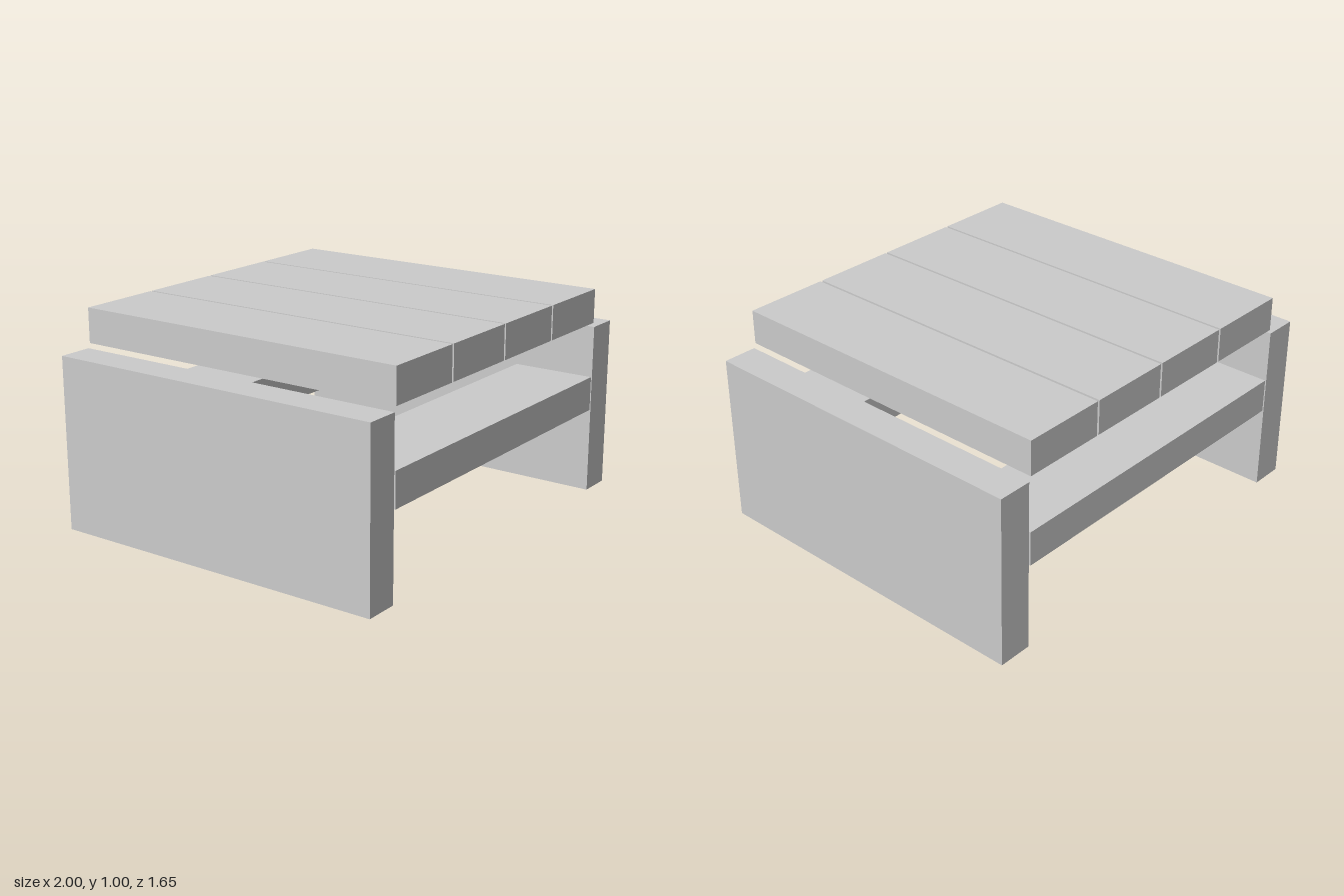
import * as THREE from 'three';

export function createModel() {
  const group = new THREE.Group();
  const material = new THREE.MeshStandardMaterial({ color: 0xcccccc, flatShading: true });

  const length = 1.655; // shared length of all boards
  const width = 0.405;
  const thickness = 0.163;
  const pitch = 0.4167; // board width plus gap

  const addBoard = (name, size, position) => {
    const mesh = new THREE.Mesh(new THREE.BoxGeometry(...size), material);
    mesh.name = name;
    mesh.position.set(...position);
    group.add(mesh);
  };

  // Four top planks running front to back
  for (let i = 0; i < 4; i++) {
    addBoard(`topPlank${i + 1}`, [width, thickness, length],
      [(i - 1.5) * pitch, 1 - thickness / 2, 0]);
  }

  // Side panels standing on the floor
  const panelHeight = 0.815;
  for (const [name, side] of [['leftPanel', 1], ['rightPanel', -1]]) {
    addBoard(name, [thickness, panelHeight, length],
      [side * (1 - thickness / 2), panelHeight / 2, 0]);
  }

  // Flat cross rails between the panels, flush with front and back
  for (const [name, side] of [['frontRail', 1], ['backRail', -1]]) {
    addBoard(name, [length, thickness, width],
      [0, 0.49, side * (length - width) / 2]);
  }

  return group;
}
